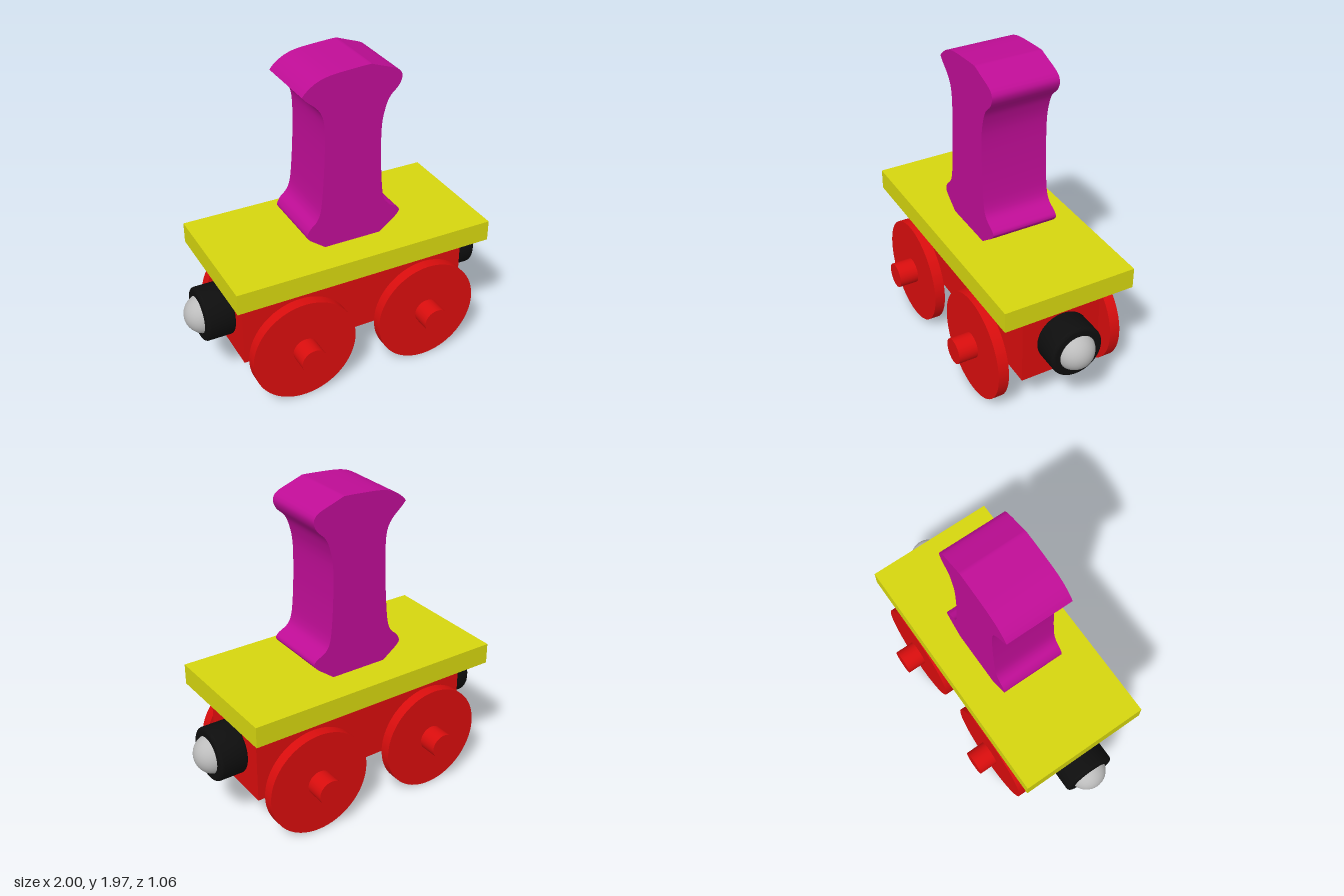
import * as THREE from 'three';
import { toCreasedNormals } from 'three/addons/utils/BufferGeometryUtils.js';

const material = (name, color) => {
  const m = new THREE.MeshStandardMaterial({ color });
  m.name = name;
  return m;
};

export function createModel() {
  const red = material('red', 0xd90d0d);
  const yellow = material('yellow', 0xd6d60f);
  const magenta = material('magenta', 0xbf0d96);
  const black = material('black', 0x0e0e0e);
  const silver = material('silver', 0xbdbdbd);

  const model = new THREE.Group();
  model.name = 'toyWagon';
  const add = (name, geometry, mat, x = 0, y = 0, z = 0) => {
    const mesh = new THREE.Mesh(geometry, mat);
    mesh.name = name;
    mesh.position.set(x, y, z);
    model.add(mesh);
    return mesh;
  };

  // Chassis block and overhanging deck
  add('chassis', new THREE.BoxGeometry(1.48, 0.49, 0.51), red, 0, 0.495, 0);
  add('deck', new THREE.BoxGeometry(1.65, 0.13, 0.83), yellow, 0, 0.805, 0);

  // Flared pillar: straight foot, curved sides, slightly uneven domed top
  const points = (list) => list.map(([x, y]) => new THREE.Vector2(x, y));
  const outline = new THREE.Shape();
  outline.moveTo(-0.18, 0.87);
  outline.lineTo(0.18, 0.87);
  outline.lineTo(0.285, 0.95);
  outline.splineThru(points([
    [0.312, 0.985], [0.295, 1.015], [0.235, 1.05], [0.205, 1.1], [0.19, 1.2],
    [0.18, 1.38], [0.18, 1.57], [0.2, 1.68], [0.23, 1.75], [0.28, 1.8],
    [0.302, 1.845], [0.298, 1.88], [0.265, 1.91], [0.17, 1.945], [0.107, 1.968],
  ]));
  outline.splineThru(points([
    [0.01, 1.963], [-0.14, 1.95], [-0.225, 1.925], [-0.285, 1.885], [-0.313, 1.855],
  ]));
  outline.splineThru(points([
    [-0.285, 1.825], [-0.22, 1.765], [-0.187, 1.7], [-0.178, 1.6], [-0.18, 1.46],
    [-0.19, 1.28], [-0.205, 1.13], [-0.23, 1.06], [-0.275, 1.015],
    [-0.295, 0.97], [-0.275, 0.94],
  ]));
  outline.closePath();
  const pillar = new THREE.ExtrudeGeometry(outline, {
    depth: 0.416, bevelEnabled: false, curveSegments: 4,
  });
  pillar.translate(0, 0, -0.208);
  add('pillar', toCreasedNormals(pillar, 0.5), magenta);

  // Axles with a wheel on each side
  const axle = new THREE.CylinderGeometry(0.079, 0.079, 1.06, 40).rotateX(Math.PI / 2);
  const wheel = new THREE.CylinderGeometry(0.332, 0.332, 0.066, 72).rotateX(Math.PI / 2);
  for (const x of [-0.413, 0.413]) {
    add('axle', axle, red, x, 0.336, 0);
    for (const z of [-0.376, 0.376]) add('wheel', wheel, red, x, 0.332, z);
  }

  // Coupling at each end: rounded collar with a ball set into it
  const profile = new THREE.Path();
  profile.moveTo(0, 0);
  profile.lineTo(0.145, 0);
  profile.absarc(0.145, 0.02, 0.02, -Math.PI / 2, 0);
  profile.absarc(0.145, 0.16, 0.02, 0, Math.PI / 2);
  profile.lineTo(0, 0.18);
  const collar = toCreasedNormals(
    new THREE.LatheGeometry(profile.getPoints(6), 48).rotateZ(-Math.PI / 2), 0.6);
  const ball = new THREE.SphereGeometry(0.12, 40, 24);
  for (const side of [-1, 1]) {
    const name = side > 0 ? 'left' : 'right';
    const mesh = add(name + 'Collar', collar, black, side * 0.738, 0.495, 0);
    if (side < 0) mesh.rotation.y = Math.PI;
    add(name + 'CouplingBall', ball, silver, side * 0.88, 0.495, 0);
  }

  return model;
}
